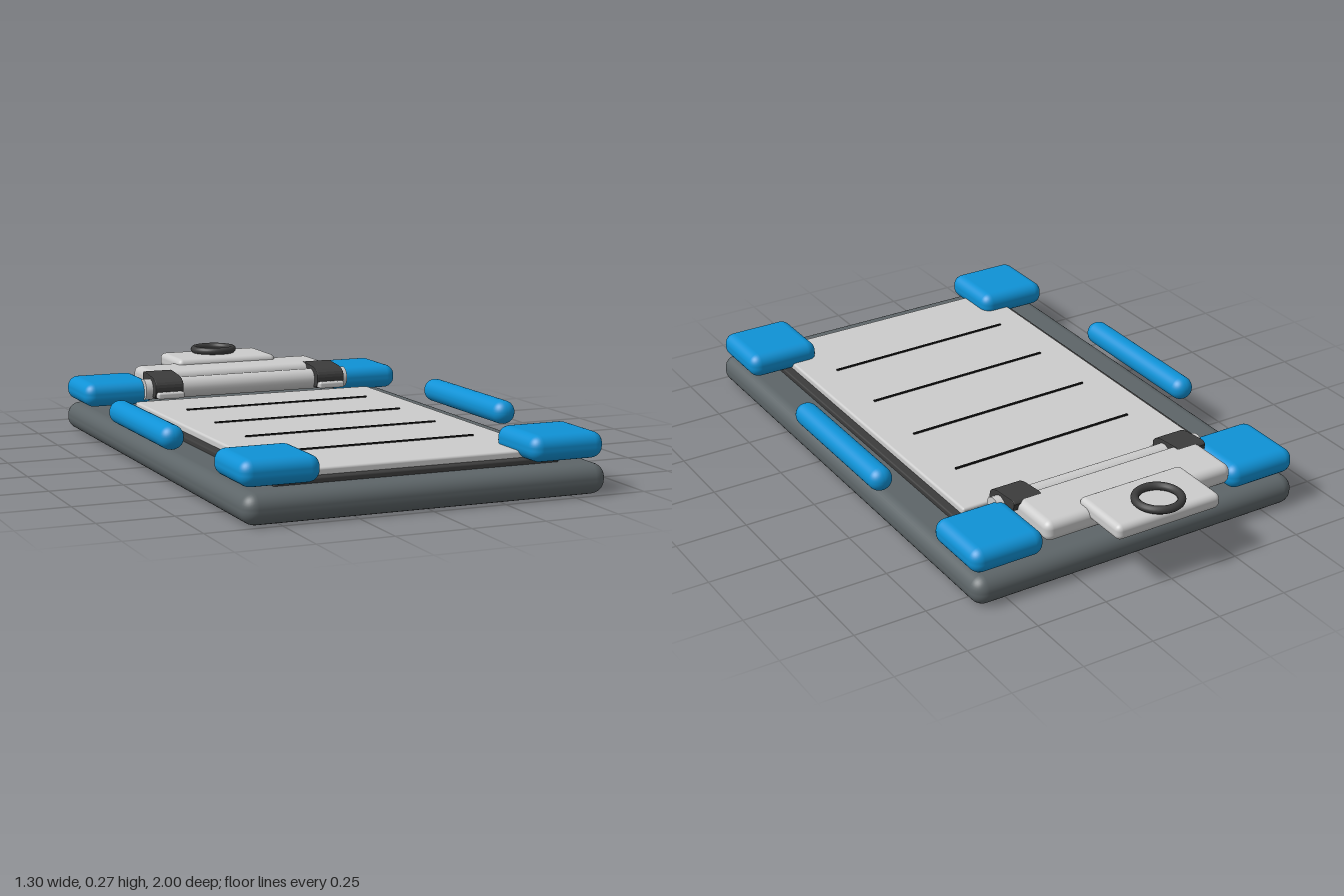
import * as THREE from 'three';
import { RoundedBoxGeometry } from 'three/addons/geometries/RoundedBoxGeometry.js';

const paint = (name, color) => {
  const m = new THREE.MeshStandardMaterial({ color });
  m.name = name;
  return m;
};

export function createModel() {
  const group = new THREE.Group();
  const slate = paint('slate board', 0x5d6568);
  const dark = paint('dark rubber', 0x3c3c3c);
  const blue = paint('blue bumper', 0x0f92d6);
  const light = paint('light metal and paper', 0xcccccc);
  const ink = paint('ink', 0x1a1a1a);

  const add = (name, geometry, material) => {
    const mesh = new THREE.Mesh(geometry, material);
    mesh.name = name;
    group.add(mesh);
    return mesh;
  };
  // Rounded block given by its limits on each axis
  const block = (name, material, [x0, x1], [y0, y1], [z0, z1], radius) => {
    const mesh = add(name, new RoundedBoxGeometry(x1 - x0, y1 - y0, z1 - z0, 4, radius), material);
    mesh.position.set((x0 + x1) / 2, (y0 + y1) / 2, (z0 + z1) / 2);
    return mesh;
  };

  // Board, backing sheet and paper
  block('board', slate, [-0.62, 0.62], [0, 0.1], [-0.84, 1], 0.046);
  block('backingSheet', dark, [-0.49, 0.49], [0.09, 0.117], [-0.515, 0.905], 0.006);
  block('paper', light, [-0.46, 0.46], [0.112, 0.14], [-0.49, 0.875], 0.008);

  // Slightly slanted ruled lines
  for (let i = 0; i < 4; i++) {
    const line = add('ruledLine', new THREE.BoxGeometry(0.7, 0.006, 0.007), ink);
    line.position.set(0, 0.142, -0.25 + i * 0.28);
    line.rotation.y = 0.015;
  }

  // Profile of a hook wrapped over the hinge bar, drawn in z and y
  const profile = new THREE.Shape();
  profile.moveTo(-0.655, 0.19);
  profile.lineTo(-0.66, 0.214);
  profile.quadraticCurveTo(-0.655, 0.224, -0.64, 0.224);
  profile.lineTo(-0.58, 0.218);
  profile.quadraticCurveTo(-0.51, 0.214, -0.51, 0.18);
  profile.quadraticCurveTo(-0.51, 0.145, -0.53, 0.14);
  profile.lineTo(-0.56, 0.14);
  profile.lineTo(-0.6, 0.19);

  // Bumpers, grips and hooks on both sides
  for (const s of [-1, 1]) {
    const span = (a, b) => (s > 0 ? [a, b] : [-b, -a]);
    block('frontCornerBumper', blue, span(0.358, 0.62), [0.113, 0.199], [0.715, 0.977], 0.038);
    block('backCornerBumper', blue, span(0.358, 0.62), [0.113, 0.199], [-0.828, -0.564], 0.038);
    block('sideGrip', blue, span(0.565, 0.648), [0.117, 0.199], [-0.242, 0.353], 0.04);

    const hook = new THREE.ExtrudeGeometry(profile, {
      depth: 0.1, bevelEnabled: true, bevelThickness: 0.004, bevelSize: 0.003,
      bevelOffset: -0.003, bevelSegments: 2, curveSegments: 6,
    });
    hook.translate(0, 0, -0.05);
    hook.rotateY(-Math.PI / 2);
    add('clipHook', hook, dark).position.x = s * 0.32;
    block('hookTongue', light, span(0.268, 0.37), [0.14, 0.164], [-0.53, -0.492], 0.008);
  }

  // Clip: hinge bar, pressing plate, thumb tab and hanging ring
  const bar = add('hingeBar', new THREE.CylinderGeometry(0.038, 0.038, 0.8, 24), light);
  bar.rotation.z = Math.PI / 2;
  bar.position.set(0, 0.168, -0.576);
  block('clipPlate', light, [-0.357, 0.357], [0.15, 0.221], [-0.826, -0.612], 0.026);
  block('thumbTab', light, [-0.197, 0.197], [0.186, 0.24], [-0.98, -0.755], 0.02);
  const ring = add('hangingRing', new THREE.TorusGeometry(0.074, 0.0135, 12, 40), dark);
  ring.rotation.x = Math.PI / 2;
  ring.position.set(0, 0.252, -0.9125);

  return group;
}
